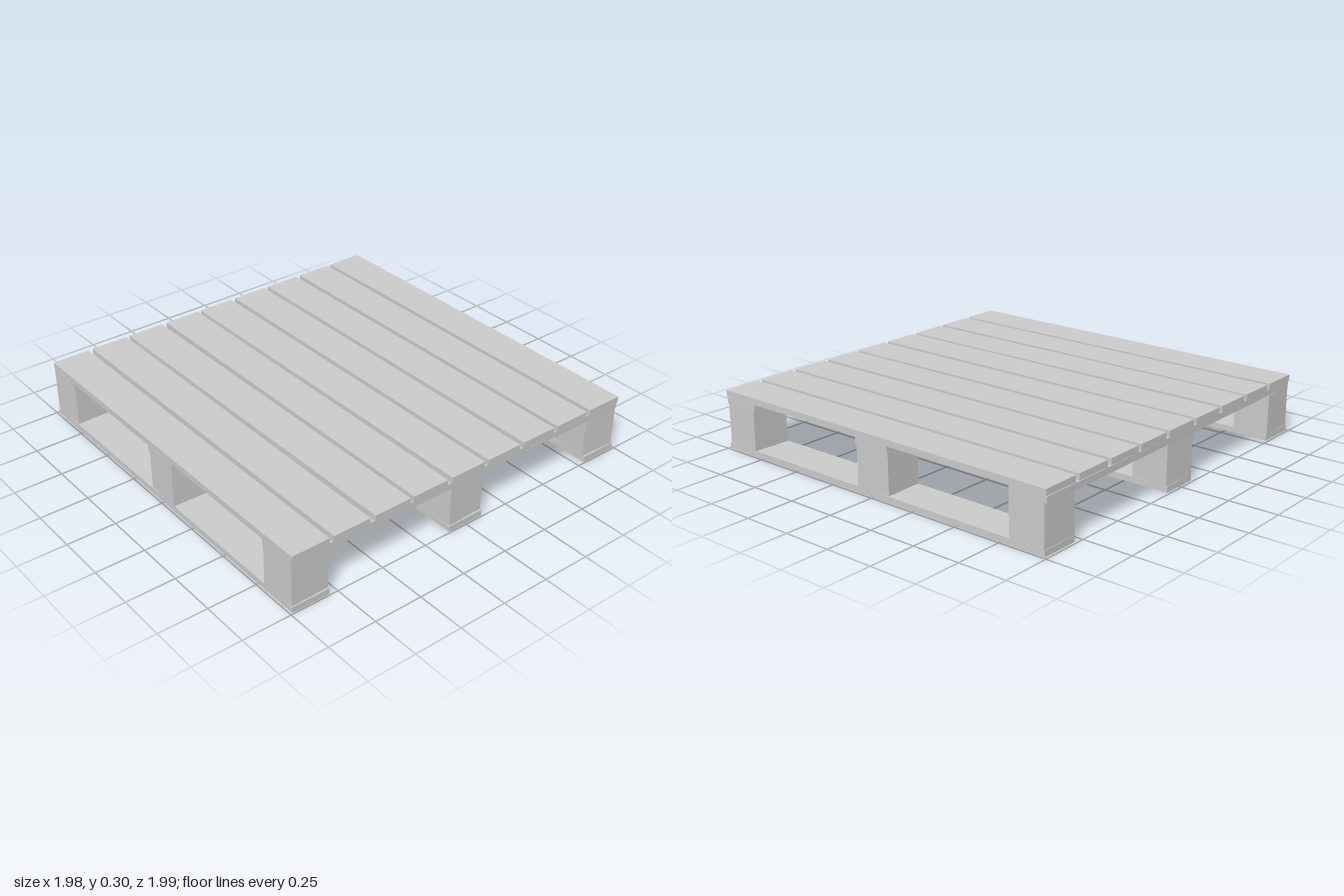
import * as THREE from 'three';

const material = new THREE.MeshStandardMaterial({ color: 0xcccccc, flatShading: true });

export function createModel() {
  const pallet = new THREE.Group();
  pallet.name = 'pallet';

  // One piece of sawn timber, standing on height y, with a slight turn
  function timber(name, size, x, y, z, turn = 0) {
    const mesh = new THREE.Mesh(new THREE.BoxGeometry(...size), material);
    mesh.name = name;
    mesh.position.set(x, y + size[1] / 2, z);
    mesh.rotation.y = turn;
    pallet.add(mesh);
  }

  const rows = [-0.89, 0, 0.89];
  const blockTurns = [0.03, -0.03, 0.02, -0.03, 0.04, 0.03, -0.02, 0.03, -0.04];

  rows.forEach((x, i) => {
    // Bottom runners, front to back
    timber('runner', [0.198, 0.03, 1.98], x, 0, 0.003);

    // Three spacer blocks on each runner
    rows.forEach((z, j) => {
      timber('block', [0.196, 0.206, 0.19], x, 0.03, z, blockTurns[i * 3 + j]);
    });
  });

  // Cross boards, side to side over the blocks
  const crossTurns = [0.006, -0.003, 0];
  rows.forEach((z, i) => {
    timber('crossBoard', [1.98, 0.032, 0.198], 0, 0.236, z, crossTurns[i]);
  });

  // Nine deck boards, front to back
  const deckTurns = [0, -0.002, 0.002, -0.002, 0.001, -0.001, 0.001, -0.001, 0];
  deckTurns.forEach((turn, i) => {
    timber('deckBoard', [0.198, 0.032, 1.985], -0.89 + i * 0.2225, 0.268, 0.003, turn);
  });

  return pallet;
}
